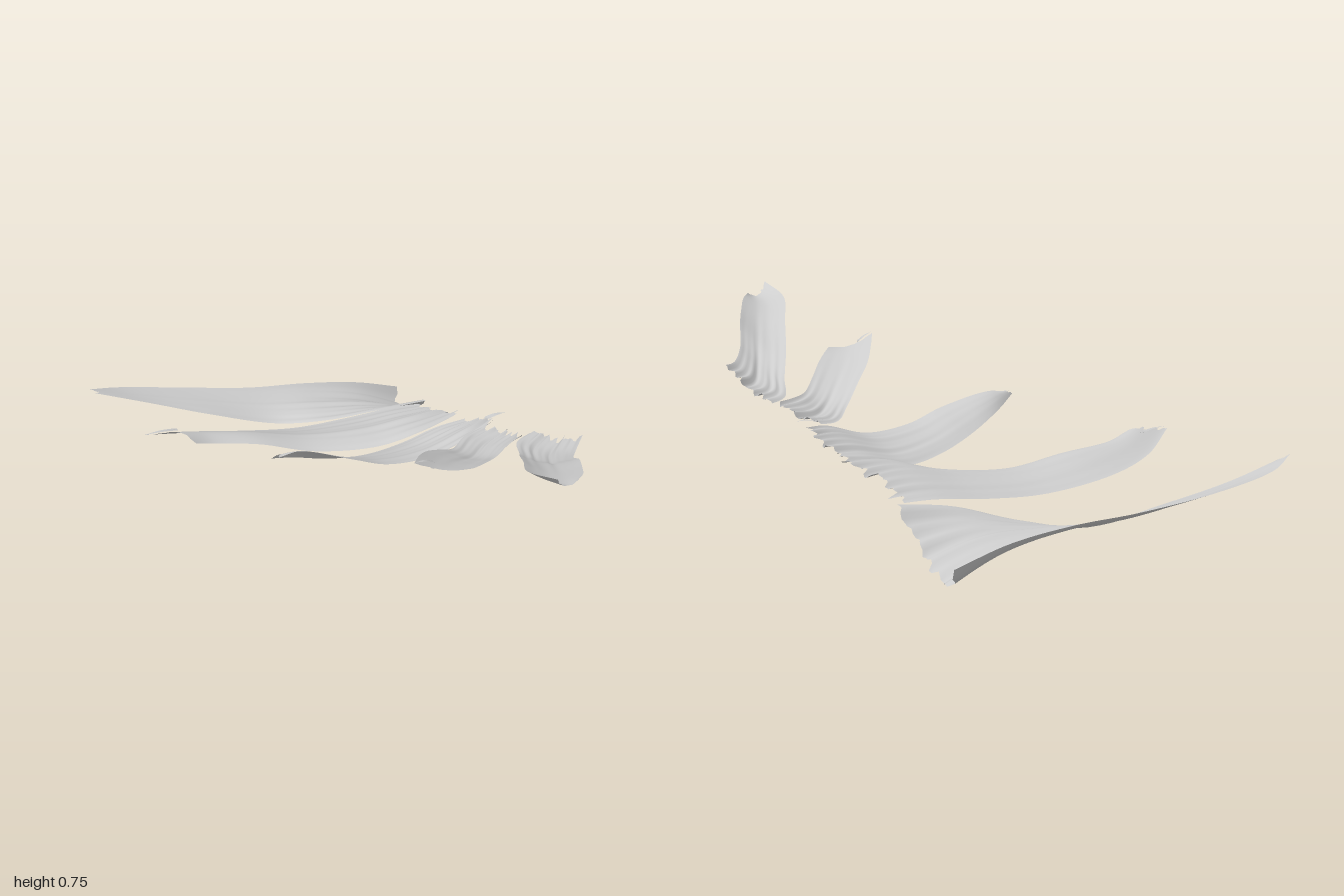
import * as THREE from 'three';

const material = new THREE.MeshStandardMaterial({ color: 0xcccccc, side: THREE.DoubleSide });

// Repeatable value in 0..1 for an integer
const hash = (n) => {
  const s = Math.sin(n * 127.1 + 11.7) * 43758.5453;
  return s - Math.floor(s);
};

const edgeCurve = (points) =>
  new THREE.CatmullRomCurve3(points.map((p) => new THREE.Vector3(...p)));

// Thin sheet between two edges, from the tip (u = 0) to the torn root (u = 1).
// sag gives the dip at tip and root, skew moves its deepest line towards an edge.
function blade(name, { back, front, sag, seed, skew = 1, torn = 0.07, fold = 1 }) {
  const nu = 48, nv = 32;
  const a = edgeCurve(back), b = edgeCurve(front);
  const pos = [], index = [];
  for (let j = 0; j <= nv; j++) {
    const v = j / nv;
    const bow = Math.sin(Math.PI * v);
    const dip = Math.sin(Math.PI * v ** skew);
    const start = 0.035 * hash(seed + (j >> 1)) * bow;
    const end = 1 - torn * (hash(seed * 3 + (j >> 1)) + 0.4 * hash(seed * 7 + j));
    for (let i = 0; i <= nu; i++) {
      const u = start + (end - start) * (i / nu);
      const p = a.getPoint(u).lerp(b.getPoint(u), v);
      p.y -= dip * THREE.MathUtils.lerp(sag[0], sag[1], u ** 4);
      // Uneven folds growing to the root
      p.y += fold * bow * 0.01 * u * u * Math.sin(v * 17 + seed + u * 3) * Math.sin(v * 7 + seed * 2);
      p.y += fold * 0.006 * u ** 4 * Math.sin(v * 41 + seed);
      pos.push(p.x, p.y, p.z);
    }
  }
  for (let j = 0; j < nv; j++) {
    for (let i = 0; i < nu; i++) {
      const k = j * (nu + 1) + i, n = k + nu + 1;
      index.push(k, n, k + 1, n, n + 1, k + 1);
    }
  }
  const geometry = new THREE.BufferGeometry();
  geometry.setAttribute('position', new THREE.Float32BufferAttribute(pos, 3));
  geometry.setIndex(index);
  geometry.computeVertexNormals();
  const mesh = new THREE.Mesh(geometry, material);
  mesh.name = name;
  return mesh;
}

// Edges run from tip to root
const blades = {
  rearBlade: {
    seed: 1, sag: [0.0, 0.09], skew: 0.6, torn: 0.02,
    back: [[-0.6, 0.26, -0.98], [-0.48, 0.225, -1.0], [-0.25, 0.18, -0.95], [0, 0.145, -0.865],
      [0.22, 0.13, -0.8], [0.42, 0.1, -0.745], [0.6, 0.045, -0.7]],
    front: [[-0.59, 0.25, -0.965], [-0.4, 0.185, -0.89], [-0.2, 0.125, -0.785], [0.02, 0.072, -0.675],
      [0.18, 0.1, -0.55], [0.34, 0.15, -0.44], [0.52, 0.175, -0.37]],
  },
  rearMiddleBlade: {
    seed: 2, sag: [-0.03, 0.01], skew: 1.4, torn: 0.06,
    back: [[-0.58, 0.29, -0.52], [-0.42, 0.225, -0.565], [-0.25, 0.18, -0.56], [0, 0.145, -0.5],
      [0.2, 0.15, -0.45], [0.38, 0.165, -0.4], [0.51, 0.16, -0.36]],
    front: [[-0.43, 0.255, -0.425], [-0.36, 0.24, -0.41], [-0.22, 0.222, -0.35],
      [-0.05, 0.182, -0.265], [0.15, 0.195, -0.155], [0.3, 0.24, -0.1], [0.49, 0.265, -0.11]],
  },
  middleBlade: {
    seed: 3, sag: [-0.01, 0.005], torn: 0.06,
    back: [[-0.35, 0.38, -0.02], [-0.25, 0.335, -0.05], [-0.1, 0.27, -0.07], [0.06, 0.225, -0.09],
      [0.22, 0.21, -0.11], [0.36, 0.235, -0.1], [0.49, 0.25, -0.07]],
    front: [[-0.33, 0.385, -0.005], [-0.26, 0.393, 0.01], [-0.1, 0.345, 0.08], [0.02, 0.3, 0.105],
      [0.2, 0.285, 0.12], [0.36, 0.325, 0.13], [0.49, 0.335, 0.09]],
  },
  frontMiddleBlade: {
    seed: 4, sag: [0.015, 0.005], torn: 0.05,
    back: [[-0.15, 0.57, 0.5], [-0.09, 0.54, 0.435], [0, 0.485, 0.35], [0.1, 0.425, 0.285],
      [0.2, 0.365, 0.22], [0.32, 0.335, 0.13], [0.42, 0.34, 0.12]],
    front: [[0.01, 0.525, 0.555], [0.04, 0.51, 0.54], [0.1, 0.48, 0.5], [0.17, 0.44, 0.445],
      [0.25, 0.4, 0.385], [0.34, 0.39, 0.335], [0.44, 0.385, 0.3]],
  },
  frontBlade: {
    seed: 5, sag: [0.025, 0.01], torn: 0.05,
    back: [[-0.035, 0.745, 1.0], [-0.025, 0.695, 0.87], [0.08, 0.615, 0.72], [0.19, 0.52, 0.57],
      [0.28, 0.445, 0.46], [0.37, 0.4, 0.34], [0.47, 0.39, 0.3]],
    front: [[0.06, 0.705, 0.98], [0.1, 0.69, 0.95], [0.16, 0.655, 0.88], [0.23, 0.61, 0.79],
      [0.3, 0.54, 0.69], [0.38, 0.495, 0.61], [0.47, 0.49, 0.54]],
  },
};

// Narrow torn strands: start, end and width
const strands = [
  ['tipStrand', [-0.15, 0.575, 0.505], [-0.07, 0.545, 0.49], 0.014],
  ['tipStrand', [-0.585, 0.295, -0.51], [-0.46, 0.285, -0.5], 0.016],
  ['rootStrand', [0.5, 0.355, 0.11], [0.42, 0.35, 0.1], 0.02],
];

export function createModel() {
  const group = new THREE.Group();
  group.name = 'bladeFan';
  for (const [name, spec] of Object.entries(blades)) group.add(blade(name, spec));
  strands.forEach(([name, p, q, w], i) => {
    const bend = p.map((c, k) => (c + q[k]) / 2 + (k === 1 ? 0.004 : 0));
    const side = (c, s) => [c[0], c[1], c[2] + s * w];
    group.add(blade(name, {
      seed: 20 + i, sag: [0, 0], fold: 0.1,
      back: [p, side(bend, -0.4), side(q, -0.5)],
      front: [p, side(bend, 0.4), side(q, 0.5)],
    }));
  });
  return group;
}
